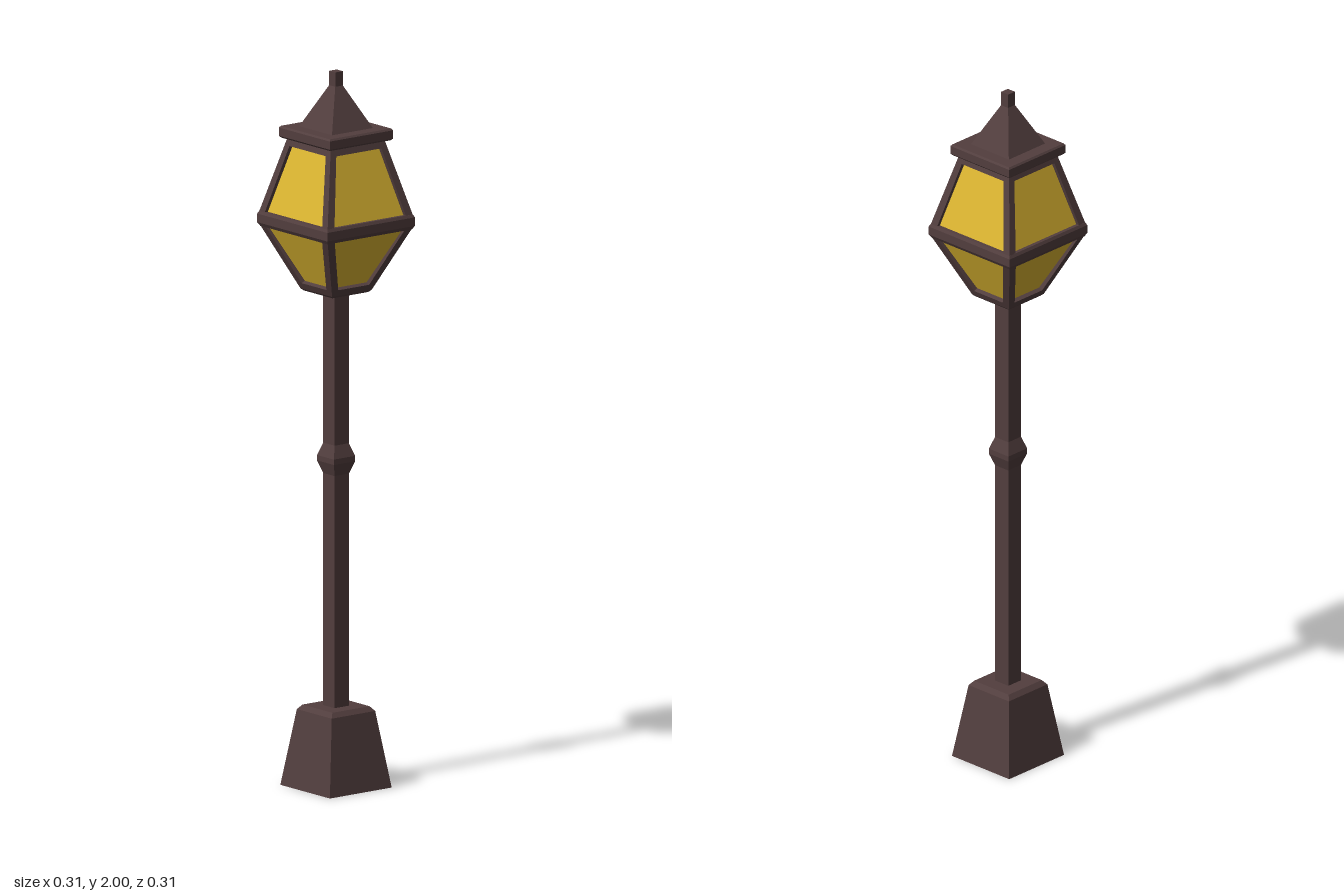
import * as THREE from 'three';

const iron = new THREE.MeshStandardMaterial({ color: 0x523e3e });
iron.name = 'dark iron';
const amber = new THREE.MeshStandardMaterial({ color: 0xdfb832 });
amber.name = 'amber glass';

// Closed square solid from a profile of [halfWidth, y], bottom to top
function squareSolid(name, profile, material) {
  const first = profile[0], last = profile[profile.length - 1];
  const points = [[0, first[1]], ...profile, [0, last[1]]]
    .map(([half, y]) => new THREE.Vector2(half * Math.SQRT2, y));
  const geometry = new THREE.LatheGeometry(points, 4, Math.PI / 4).toNonIndexed();
  geometry.computeVertexNormals();
  const mesh = new THREE.Mesh(geometry, material);
  mesh.name = name;
  return mesh;
}

// Tilted trapezoid window frame on the +z side; rows are [halfWidth, y]
function windowFrame([h0, y0], [h1, y1], [g0, v0], [g1, v1]) {
  const length = Math.hypot(y1 - y0, h1 - h0);
  const along = (y) => (y - y0) / (y1 - y0) * length;
  const trapezoid = (a, b, low, high) => [
    new THREE.Vector2(-a, low), new THREE.Vector2(a, low),
    new THREE.Vector2(b, high), new THREE.Vector2(-b, high),
  ];
  const shape = new THREE.Shape(trapezoid(h0, h1, 0, length));
  shape.holes.push(new THREE.Path(trapezoid(g0, g1, along(v0), along(v1)).reverse()));
  const depth = 0.015;
  return new THREE.ExtrudeGeometry(shape, { depth, bevelEnabled: false })
    .translate(0, 0, -depth)
    .rotateX(Math.atan2(h1 - h0, y1 - y0))
    .translate(0, y0, h0);
}

export function createModel() {
  const model = new THREE.Group();
  model.name = 'streetLamp';

  // Foot and post with its collar
  model.add(squareSolid('base', [[0.108, 0], [0.076, 0.213], [0.065, 0.226]], iron));
  model.add(squareSolid('post', [
    [0.025, 0.2], [0.025, 0.875], [0.037, 0.91], [0.037, 0.925], [0.025, 0.96], [0.025, 1.4],
  ], iron));

  // Lantern: glass core, rims and the window frames on four sides
  const lantern = new THREE.Group();
  lantern.name = 'lantern';
  lantern.add(squareSolid('glass', [
    [0.057, 1.395], [0.139, 1.565], [0.139, 1.603], [0.083, 1.81],
  ], amber));
  lantern.add(squareSolid('bottomRim', [[0.062, 1.384], [0.069, 1.39], [0.073, 1.403]], iron));
  lantern.add(squareSolid('middleRim', [
    [0.147, 1.562], [0.153, 1.572], [0.153, 1.596], [0.149, 1.604],
  ], iron));
  const upper = windowFrame([0.151, 1.595], [0.093, 1.815], [0.125, 1.603], [0.079, 1.79]);
  const lower = windowFrame([0.069, 1.39], [0.151, 1.573], [0.054, 1.408], [0.122, 1.563]);
  for (let i = 0; i < 4; i++) {
    for (const [name, geometry] of [['upperFrame', upper], ['lowerFrame', lower]]) {
      const frame = new THREE.Mesh(geometry, iron);
      frame.name = name;
      frame.rotation.y = i * Math.PI / 2;
      lantern.add(frame);
    }
  }
  model.add(lantern);

  // Cap, pyramid roof and finial
  model.add(squareSolid('cap', [
    [0.106, 1.81], [0.111, 1.815], [0.111, 1.838], [0.107, 1.843],
  ], iron));
  model.add(squareSolid('roof', [[0.073, 1.84], [0.0133, 1.96]], iron));
  model.add(squareSolid('finial', [[0.0133, 1.95], [0.0133, 2]], iron));
  return model;
}
